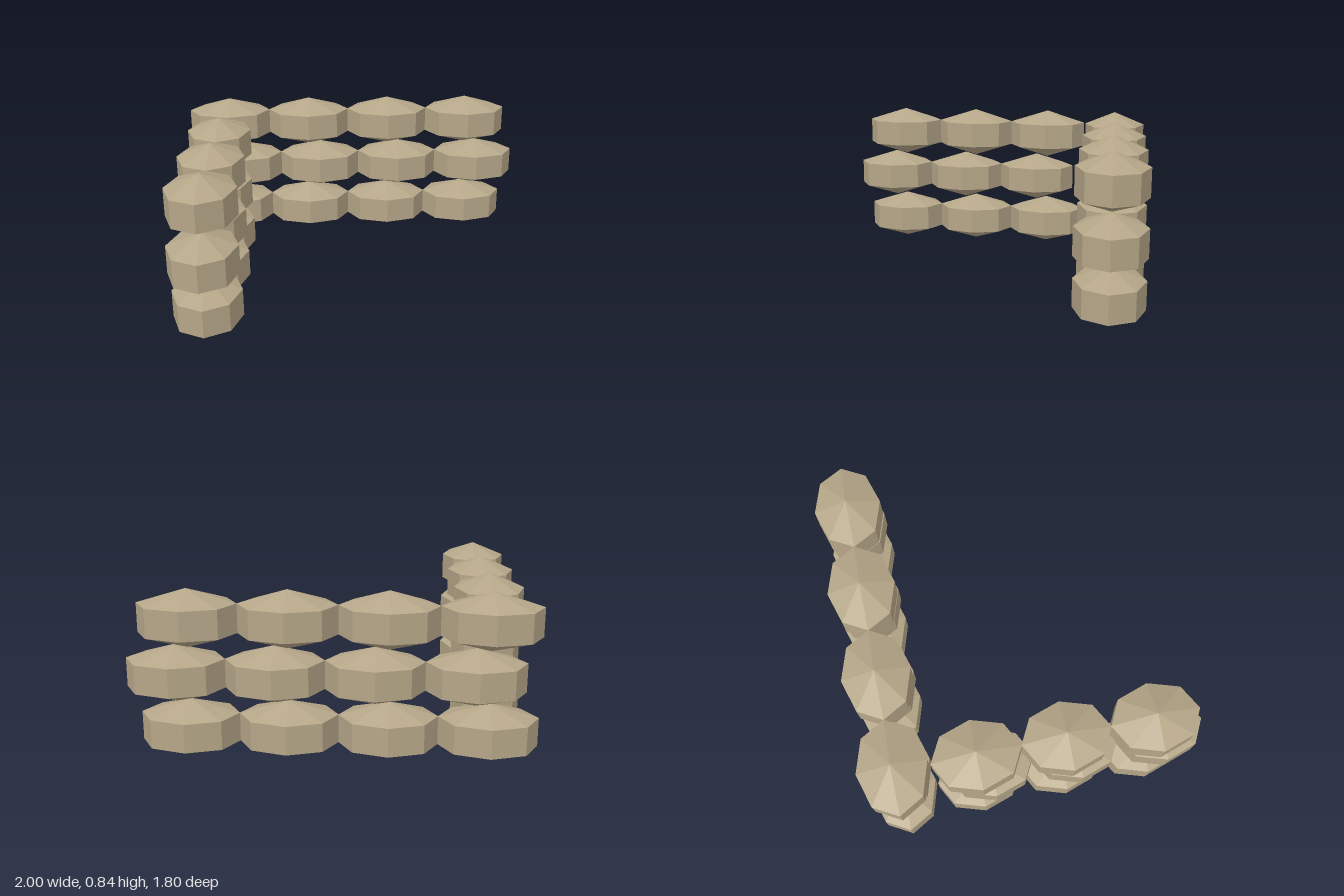
import * as THREE from 'three';

export function createModel() {
  const group = new THREE.Group();
  group.name = 'sandbagCorner';
  const burlap = new THREE.MeshStandardMaterial({ color: 0xb5a688, flatShading: true });
  burlap.name = 'burlap';

  // Coarse eight-sided bag, scaled so its widest ring has radius 1
  const bag = new THREE.SphereGeometry(1, 8, 3);
  const ring = Math.sin(Math.PI / 3);
  bag.scale(1 / ring, 1, 1 / ring);

  const halfHeight = 0.145;
  const layerStep = 0.275;

  function addBag(parent, name, x, y, z, halfX, halfZ) {
    const mesh = new THREE.Mesh(bag, burlap);
    mesh.name = name;
    mesh.position.set(x, y, z);
    mesh.scale.set(halfX, halfHeight, halfZ);
    parent.add(mesh);
  }

  const backWall = new THREE.Group();
  backWall.name = 'backWall';
  const sideWall = new THREE.Group();
  sideWall.name = 'sideWall';
  group.add(backWall, sideWall);

  // Three courses, the middle one shifted along each wall
  for (let layer = 0; layer < 3; layer++) {
    const y = halfHeight + layer * layerStep;
    const shift = layer % 2 ? 0.065 : 0;
    for (let i = 0; i < 4; i++) {
      addBag(backWall, 'backBag', -0.758 + i * 0.483 + shift, y, -0.722, 0.242, 0.178);
    }
    for (let i = 0; i < 3; i++) {
      addBag(sideWall, 'sideBag', -0.783, y, 0.607 - i * 0.456 + shift, 0.178, 0.229);
    }
  }
  return group;
}
